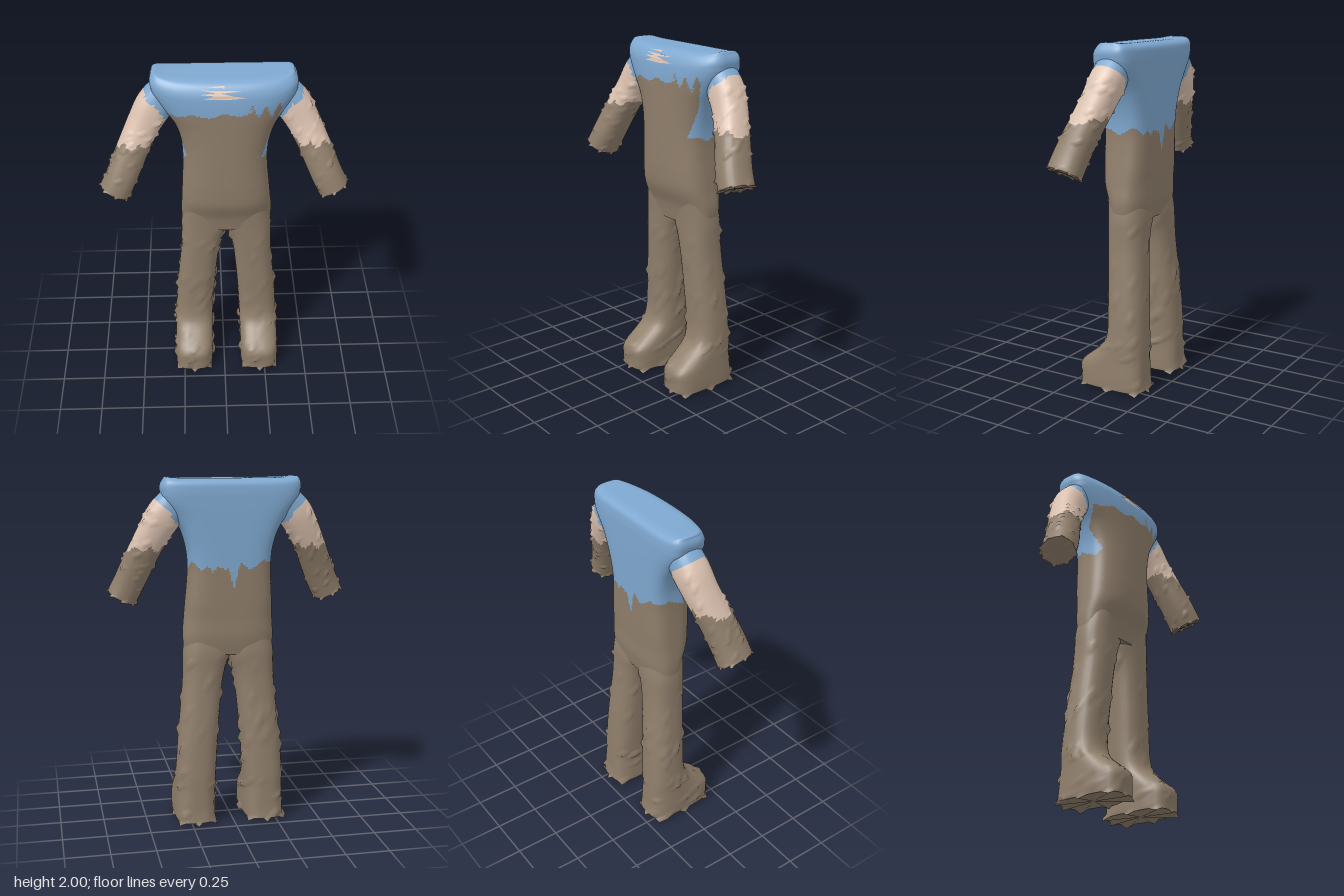
import * as THREE from 'three';

const flat = (name, color) => {
  const m = new THREE.MeshStandardMaterial({ color });
  m.name = name;
  return m;
};

// repeatable noise in 0..1
const hash = (i, j, s) => {
  const v = Math.sin(i * 127.1 + j * 311.7 + s * 74.7) * 43758.5453;
  return v - Math.floor(v);
};
// triangle wave in -1..1, for torn edges
const zig = (v) => 4 * Math.abs(v - Math.floor(v) - 0.5) - 1;

// smooth interpolation through rows of numbers
function sample(rows, t) {
  const f = t * (rows.length - 1);
  const i = Math.min(Math.floor(f), rows.length - 2);
  const k = f - i;
  const at = (n) => rows[Math.max(0, Math.min(rows.length - 1, n))];
  return rows[0].map((_, c) => {
    const p = at(i - 1)[c], a = at(i)[c], b = at(i + 1)[c], q = at(i + 2)[c];
    return a + 0.5 * k * (b - p + k * (2 * p - 5 * a + 4 * b - q + k * (3 * (a - b) + q - p)));
  });
}

// unit superellipse
function squircle(u, nFront, nBack) {
  const c = Math.cos(u), s = Math.sin(u), n = s > 0 ? nFront : nBack;
  const r = Math.pow(Math.abs(c) ** n + Math.abs(s) ** n, -1 / n);
  return [c * r, s * r];
}

// closed tube of cross-sections, with flat ends; pick(point) chooses the material
function loft(name, nu, nv, point, materials, pick) {
  const pos = [], tris = [];
  for (let j = 0; j <= nv; j++)
    for (let i = 0; i < nu; i++) pos.push(point((i / nu) * Math.PI * 2, j / nv, i, j));
  for (let j = 0; j < nv; j++)
    for (let i = 0; i < nu; i++) {
      const a = j * nu + i, b = j * nu + ((i + 1) % nu), c = a + nu, d = b + nu;
      tris.push([a, c, b], [b, c, d]);
    }
  for (const j of [0, nv]) {
    const start = pos.length, centre = new THREE.Vector3();
    for (let i = 0; i < nu; i++) {
      pos.push(pos[j * nu + i].clone());
      centre.addScaledVector(pos[j * nu + i], 1 / nu);
    }
    pos.push(centre);
    for (let i = 0; i < nu; i++) {
      const a = start + i, b = start + ((i + 1) % nu);
      tris.push(j ? [a, start + nu, b] : [a, b, start + nu]);
    }
  }
  const geo = new THREE.BufferGeometry().setFromPoints(pos);
  const sets = materials.map(() => []);
  const mid = new THREE.Vector3();
  for (const t of tris) {
    mid.copy(pos[t[0]]).add(pos[t[1]]).add(pos[t[2]]).divideScalar(3);
    sets[pick ? pick(mid) : 0].push(...t);
  }
  let offset = 0;
  sets.forEach((s, k) => {
    geo.addGroup(offset, s.length, k);
    offset += s.length;
  });
  geo.setIndex(sets.flat());
  geo.computeVertexNormals();
  const mesh = new THREE.Mesh(geo, materials);
  mesh.name = name;
  return mesh;
}

// torso rows: y, x min, x max, z min, z max, squareness of the back
const TORSO = [
  [1.0, -0.24, 0.265, -0.15, 0.055, 3],
  [1.1, -0.245, 0.275, -0.165, 0.075, 3],
  [1.2, -0.24, 0.265, -0.165, 0.112, 3.5],
  [1.3, -0.235, 0.255, -0.168, 0.122, 4],
  [1.4, -0.23, 0.245, -0.17, 0.124, 4],
  [1.5, -0.228, 0.24, -0.172, 0.125, 4],
  [1.6, -0.235, 0.25, -0.173, 0.125, 4.5],
  [1.7, -0.265, 0.28, -0.174, 0.125, 5],
  [1.78, -0.315, 0.325, -0.175, 0.125, 5],
  [1.86, -0.365, 0.375, -0.175, 0.123, 6],
  [1.92, -0.392, 0.395, -0.174, 0.115, 6],
  [1.965, -0.385, 0.38, -0.165, 0.09, 6],
  [1.985, -0.355, 0.345, -0.13, 0.05, 5],
  [1.987, -0.15, 0.15, -0.07, 0.0, 4],
  [1.987, -0.01, 0.01, -0.045, -0.035, 2],
];

// leg rows: y, inner x, outer x, z min, z max, squareness
const LEG = [
  [0.0, 0.09, 0.32, -0.21, 0.205, 4],
  [0.07, 0.088, 0.322, -0.2, 0.205, 4],
  [0.14, 0.088, 0.32, -0.198, 0.205, 3.6],
  [0.2, 0.087, 0.318, -0.197, 0.14, 3],
  [0.27, 0.085, 0.316, -0.196, 0.06, 2.8],
  [0.36, 0.08, 0.31, -0.192, 0.035, 2.7],
  [0.48, 0.073, 0.302, -0.187, 0.036, 2.6],
  [0.6, 0.064, 0.29, -0.18, 0.042, 2.6],
  [0.72, 0.053, 0.278, -0.17, 0.046, 2.6],
  [0.83, 0.04, 0.268, -0.163, 0.052, 2.6],
  [0.93, 0.018, 0.265, -0.16, 0.056, 2.6],
  [1.02, -0.012, 0.262, -0.16, 0.06, 2.6],
  [1.16, 0.02, 0.24, -0.14, 0.07, 2.6],
];

// arm rows, wrist to shoulder: x, y, z, half width, half depth
const ARM = [
  [0.61, 1.31, 0.075, 0.086, 0.1],
  [0.57, 1.39, 0.06, 0.087, 0.098],
  [0.53, 1.48, 0.035, 0.088, 0.095],
  [0.48, 1.59, 0.0, 0.088, 0.092],
  [0.43, 1.69, -0.03, 0.092, 0.092],
  [0.37, 1.79, -0.05, 0.1, 0.095],
  [0.29, 1.89, -0.06, 0.085, 0.088],
];

// shaggy surface: scattered points, and a ragged hem on the first row
function shag(i, j, seed) {
  if (j === 0) return i % 4 === 0 ? 1.12 : 0.98;
  return hash(i, j, seed) > 0.95 ? 1.08 + 0.08 * hash(j, i, seed) : 1;
}

export function createModel() {
  const brown = flat('brown fur', 0x8f7e6b);
  const blue = flat('blue shirt', 0x7fa8d0);
  const skin = flat('pale skin', 0xdcc2b0);
  const group = new THREE.Group();
  group.name = 'figure';

  // torso, brown below and in front, blue above and behind
  const torsoColour = ({ x, y, z }) => {
    const ax = Math.abs(x);
    const spikes = x > 0.14 && x < 0.3 ? 0.045 * zig(x * 14) : 0;
    if (y > 1.81 + 0.06 * x + 0.012 * zig(x * 6) + spikes) return 1;
    if (z > -0.02 && ax < 0.19 + (y - 1.48) * 0.33) return 0;
    const tear = z < -0.1 ? Math.max(0, 0.14 - Math.abs(x) * 4) + Math.max(0, 0.06 - Math.abs(x - 0.12) * 2) : 0;
    return y > 1.51 + 0.025 * zig(x * 7 + z * 5) - tear ? 1 : 0;
  };
  group.add(loft('torso', 112, 112, (u, t) => {
    const [y, x0, x1, z0, z1, n] = sample(TORSO, t);
    const [c, s] = squircle(u, 2.5, n);
    const x = (x0 + x1) / 2 + (c * (x1 - x0)) / 2;
    const lift = y > 1.9 ? 0.012 * Math.min(1, Math.abs(x) / 0.36) ** 8 : 0;
    return new THREE.Vector3(x, y + lift, (z0 + z1) / 2 + (s * (z1 - z0)) / 2);
  }, [brown, blue], torsoColour));

  // legs with feet, and arms with sleeves
  for (const side of [1, -1]) {
    const label = side > 0 ? 'left' : 'right';
    group.add(loft(label + 'Leg', 32, 40, (u, t, i, j) => {
      const [y, xi, xo, z0, z1, n] = sample(LEG, t);
      const [c, s] = squircle(u, n, n);
      const k = t > 0.85 ? 1 : shag(i, j, side);
      const hem = j === 0 && i % 4 ? 0.018 : 0;
      return new THREE.Vector3(
        0.014 + side * ((xi + xo) / 2 - 0.002) + (k * c * (xo - xi)) / 2,
        Math.max(0, y + hem),
        (z0 + z1) / 2 + (1 + (k - 1) * 0.6) * s * (z1 - z0) / 2);
    }, [brown]));

    const centre = (t) => {
      const r = sample(ARM, t);
      return new THREE.Vector3(side * r[0], r[1], r[2]);
    };
    const armColour = ({ x, y }) => {
      const ax = Math.abs(x);
      if (y < 1.6 + 0.02 * zig(x * 13)) return 0;
      return y > 1.74 + (ax - 0.3) * 1.1 + 0.015 * zig(x * 11) ? 1 : 2;
    };
    group.add(loft(label + 'Arm', 32, 40, (u, t, i, j) => {
      const r = sample(ARM, t);
      const d = centre(Math.min(1, t + 0.02)).sub(centre(Math.max(0, t - 0.02))).normalize();
      const a = d.clone().cross(new THREE.Vector3(0, 0, 1)).normalize();
      const b = a.clone().cross(d);
      const [c, s] = squircle(u, 2.4, 2.4);
      const k = t > 0.8 ? 1 : shag(i, j, side + 5);
      return centre(t)
        .addScaledVector(a, c * r[3] * k)
        .addScaledVector(b, s * r[4] * k)
        .addScaledVector(d, j === 0 && i % 4 ? 0.015 : 0);
    }, [brown, blue, skin], armColour));
  }

  // ragged pale tears across the chest, laid on the torso surface
  const rowAt = (y) => {
    const k = TORSO.findIndex((r) => r[0] > y);
    const a = TORSO[k - 1], b = TORSO[k], f = (y - a[0]) / (b[0] - a[0]);
    return a.map((v, c) => v + (b[c] - v) * f);
  };
  const tears = [
    [[-0.1, 1.966], [0.0, 1.962], [0.0, 1.97]],
    [[-0.12, 1.952], [-0.03, 1.937], [0.1, 1.946], [0.02, 1.95]],
    [[-0.13, 1.932], [-0.05, 1.926], [0.04, 1.926], [-0.03, 1.94]],
    [[-0.11, 1.908], [0.01, 1.906], [0.12, 1.914], [0.03, 1.926], [-0.05, 1.926]],
  ];
  tears.forEach((pts, n) => {
    const geo = new THREE.ShapeGeometry(new THREE.Shape(pts.map((p) => new THREE.Vector2(...p))));
    const p = geo.attributes.position;
    for (let i = 0; i < p.count; i++) {
      const [, x0, x1, z0, z1] = rowAt(p.getY(i));
      const q = Math.abs((p.getX(i) - (x0 + x1) / 2) / ((x1 - x0) / 2));
      p.setZ(i, (z0 + z1) / 2 + ((z1 - z0) / 2) * (1 - q ** 2.5) ** 0.4 + 0.006);
    }
    geo.computeVertexNormals();
    const mesh = new THREE.Mesh(geo, skin);
    mesh.name = 'chestTear' + (n + 1);
    group.add(mesh);
  });
  return group;
}
